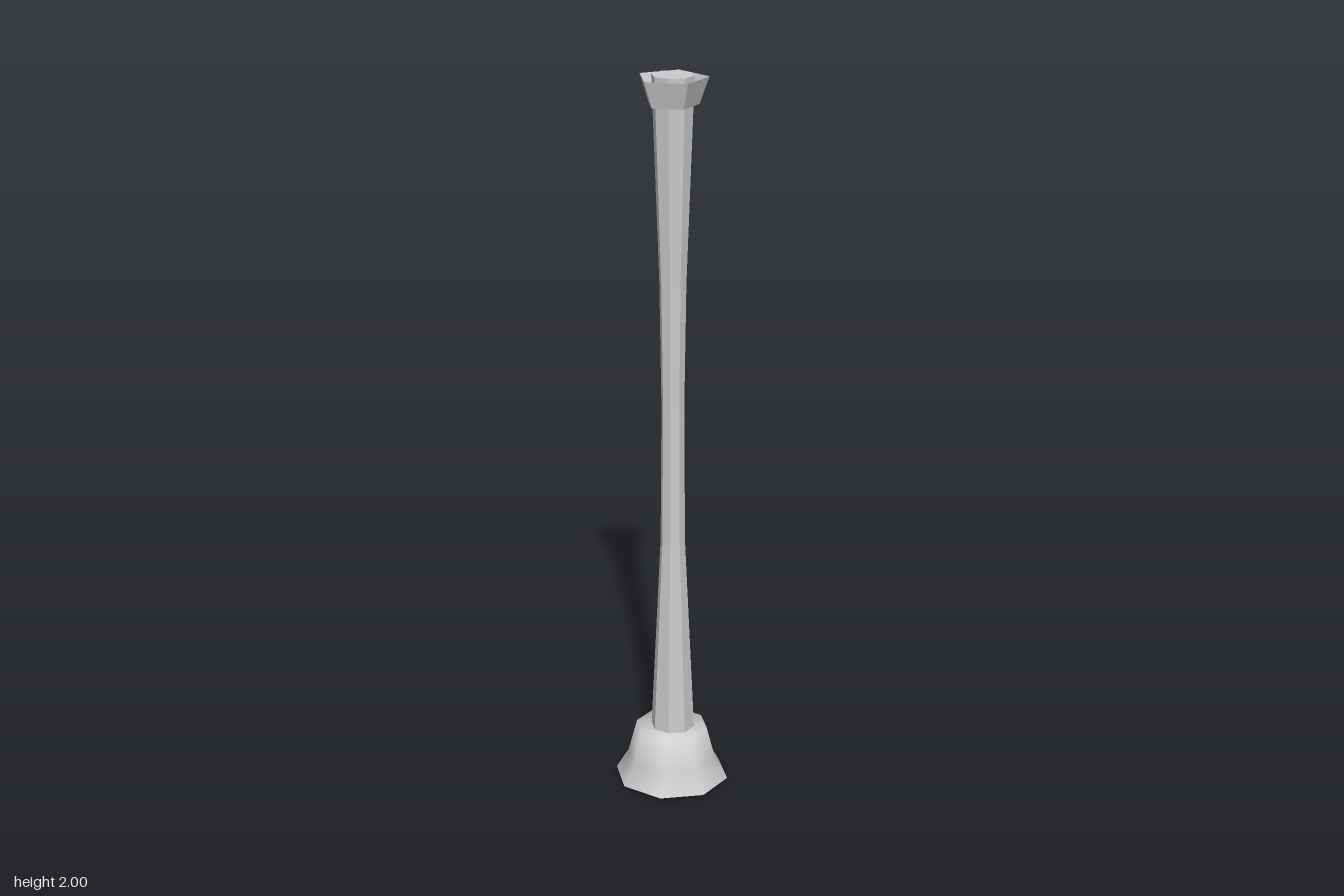
import * as THREE from 'three';

// Turns a [radius, height] profile into a faceted part, slightly flattened in z
function turned(name, profile, sides, { start = 0, flat = true } = {}) {
  const points = profile.map(([r, y]) => new THREE.Vector2(r, y));
  const geometry = new THREE.LatheGeometry(points, sides, start);
  geometry.scale(1, 1, 0.94);
  const material = new THREE.MeshStandardMaterial({
    color: 0xcccccc, flatShading: flat, side: THREE.DoubleSide,
  });
  const mesh = new THREE.Mesh(geometry, material);
  mesh.name = name;
  return mesh;
}

export function createModel() {
  const group = new THREE.Group();
  group.name = 'post';

  // Smooth flared foot, open underneath and closed on top
  const base = turned('base',
    [[0.16, 0], [0.125, 0.06], [0.1, 0.155], [0, 0.155]], 8, { flat: false });

  // Slim eight-sided shaft, waisted in the middle, with a flat top
  const shaft = turned('shaft',
    [[0.061, 0.15], [0.034, 0.72], [0.031, 1.1], [0.036, 1.45], [0.056, 2], [0, 2]], 8);
  shaft.position.x = 0.003;

  // Open five-sided collar flaring around the top of the shaft
  const collar = turned('collar', [[0.07, 1.925], [0.095, 1.995]], 5, { start: Math.PI });
  collar.position.set(0.002, 0, 0.005);

  group.add(base, shaft, collar);
  return group;
}
